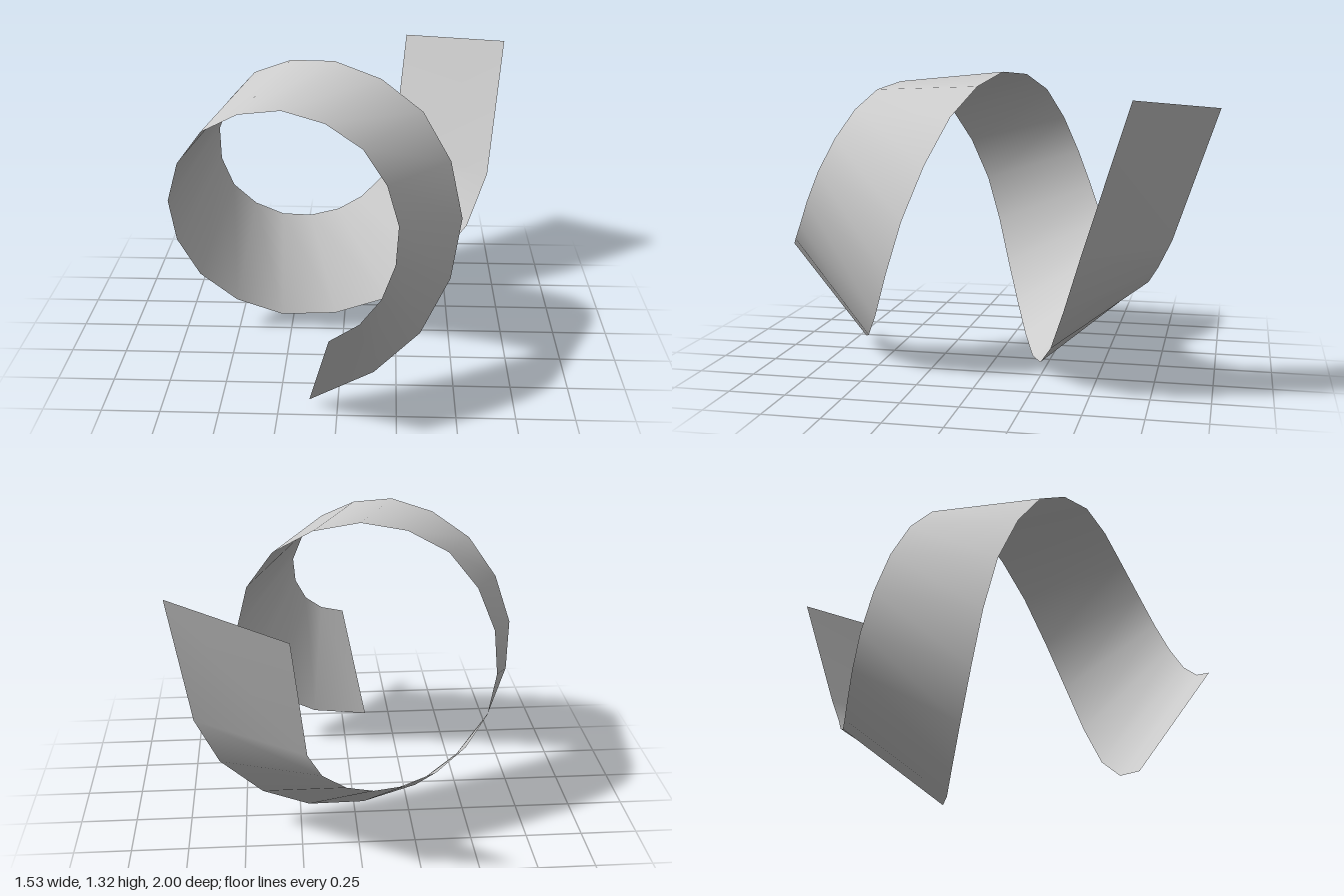
import * as THREE from 'three';

// Every second cross-rung of the coil, as points on its two edges [x, y, z]
const EDGE_A = [
  [-0.02, 0.505, 1.0], [0.18, 0.63, 0.89], [0.245, 0.89, 0.77], [0.10, 1.16, 0.64],
  [-0.23, 1.275, 0.52], [-0.585, 1.125, 0.36], [-0.77, 0.75, 0.21], [-0.665, 0.33, 0.08],
  [-0.30, 0.04, -0.08], [0.21, 0.055, -0.24], [0.60, 0.385, -0.40],
];
const EDGE_B = [
  [-0.12, 0.04, 0.68], [0.35, 0.26, 0.48], [0.525, 0.725, 0.30], [0.35, 1.15, 0.13],
  [-0.04, 1.33, -0.02], [-0.41, 1.235, -0.16], [-0.60, 0.92, -0.29], [-0.56, 0.58, -0.42],
  [-0.33, 0.375, -0.54], [-0.05, 0.36, -0.65], [0.17, 0.50, -0.75],
];
// Last bend and the straight tail
const TAIL_A = [[0.695, 0.63, -0.48], [0.765, 1.255, -0.68]];
const TAIL_B = [[0.23, 0.63, -0.81], [0.29, 1.2, -1.0]];

// Adds a rung halfway between neighbours, following the curve through four points
function refine(points) {
  const beyond = (a, b, c) => a.map((v, k) => 3 * v - 3 * b[k] + c[k]);
  const n = points.length;
  const p = [
    beyond(points[0], points[1], points[2]),
    ...points,
    beyond(points[n - 1], points[n - 2], points[n - 3]),
  ];
  const out = [];
  for (let i = 1; i < n; i++) {
    out.push(p[i], p[i].map((v, k) => (9 * (v + p[i + 1][k]) - p[i - 1][k] - p[i + 2][k]) / 16));
  }
  out.push(p[n]);
  return out;
}

// Strip of quads between two edges with the same number of points
function stripGeometry(edgeA, edgeB) {
  const positions = [];
  const index = [];
  edgeA.forEach((a, i) => {
    positions.push(...a, ...edgeB[i]);
    if (i > 0) {
      const k = 2 * i;
      index.push(k - 2, k - 1, k, k - 1, k + 1, k);
    }
  });
  const geometry = new THREE.BufferGeometry();
  geometry.setAttribute('position', new THREE.Float32BufferAttribute(positions, 3));
  geometry.setIndex(index);
  geometry.computeVertexNormals();
  return geometry;
}

export function createModel() {
  const paper = new THREE.MeshStandardMaterial({ color: 0xcccccc, side: THREE.DoubleSide });
  paper.name = 'light grey';

  // One thin twisting ribbon
  const ribbon = new THREE.Mesh(
    stripGeometry([...refine(EDGE_A), ...TAIL_A], [...refine(EDGE_B), ...TAIL_B]),
    paper,
  );
  ribbon.name = 'curledRibbon';

  const model = new THREE.Group();
  model.name = 'ribbonCurl';
  model.add(ribbon);
  return model;
}
